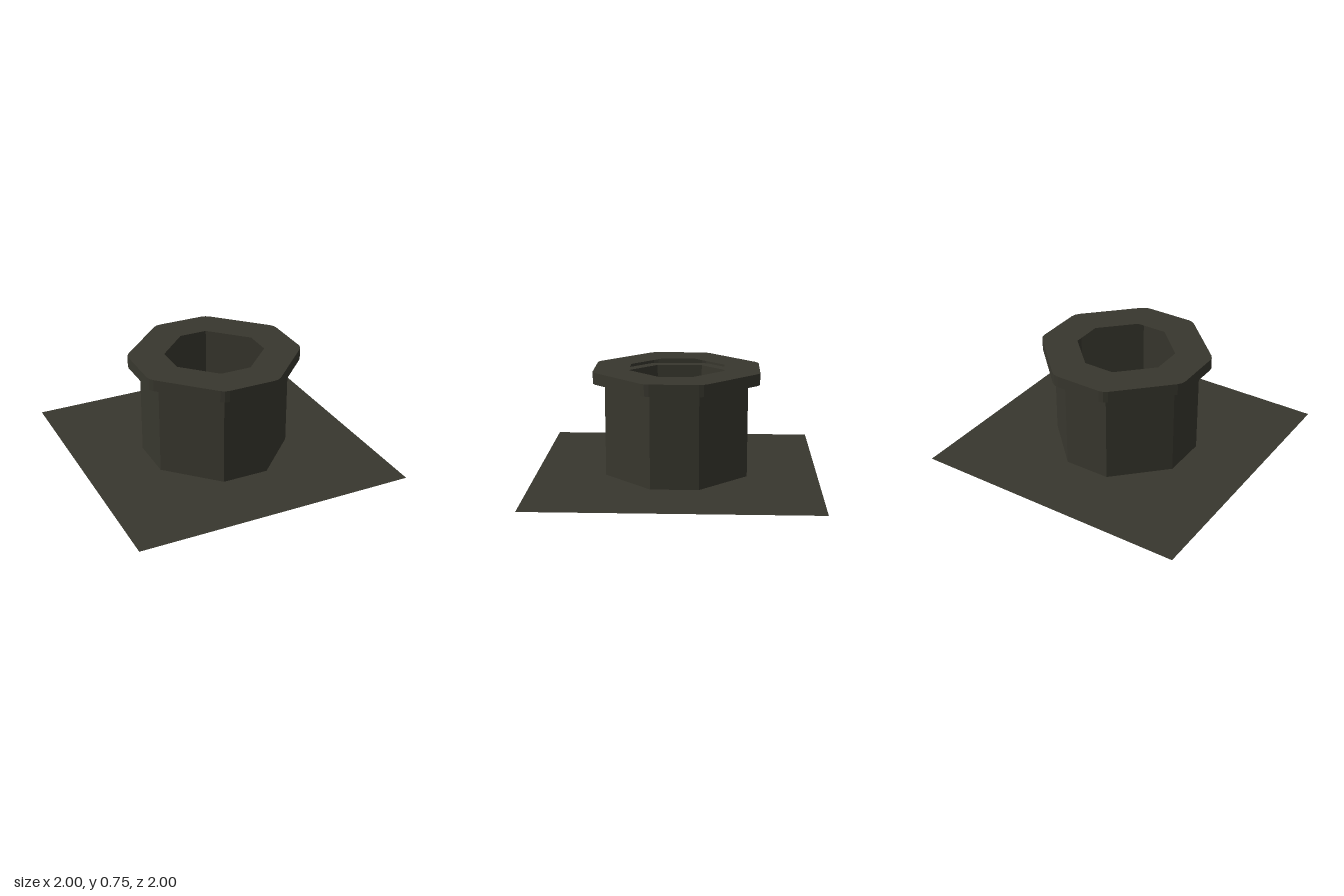
import * as THREE from 'three';

const LIP_BOTTOM = 0.667, LIP_TOP = 0.75;

// Octagon with flats at distance r and corners at r / 3, counter-clockwise
function octagon(r) {
  const pts = [];
  for (let k = 0; k < 4; k++) {
    for (const s of [-1, 1]) {
      pts.push(new THREE.Vector2(r, s * r / 3).rotateAround(new THREE.Vector2(), k * Math.PI / 2));
    }
  }
  return pts;
}

// Octagon grown outward by d, with each corner rounded by a short arc
function roundedOctagon(r, d, steps = 2) {
  const pts = [];
  octagon(r).forEach((p, i) => {
    for (let j = 0; j <= steps; j++) {
      const a = (i - 1 + j / steps) * Math.PI / 4;
      pts.push(new THREE.Vector2(p.x + d * Math.cos(a), p.y + d * Math.sin(a)));
    }
  });
  return pts;
}

// Flat horizontal sheet with a hole, facing up or down
function sheet(outer, hole, y, up = true) {
  const shape = new THREE.Shape(outer);
  shape.holes.push(new THREE.Path(hole));
  return new THREE.ShapeGeometry(shape).rotateX(up ? -Math.PI / 2 : Math.PI / 2).translate(0, y, 0);
}

// Thin upright wall following an outline
function wall(pts, y0, y1) {
  const pos = [];
  pts.forEach((a, i) => {
    const b = pts[(i + 1) % pts.length];
    const corners = [[a, y0], [b, y0], [b, y1], [a, y1]];
    for (const k of [0, 1, 2, 0, 2, 3]) pos.push(corners[k][0].x, corners[k][1], -corners[k][0].y);
  });
  const geo = new THREE.BufferGeometry();
  geo.setAttribute('position', new THREE.Float32BufferAttribute(pos, 3));
  geo.computeVertexNormals();
  return geo;
}

export function createModel() {
  const model = new THREE.Group();
  model.name = 'octagonalVent';
  const darkOlive = new THREE.MeshStandardMaterial({ color: 0x38372e, side: THREE.DoubleSide, flatShading: true });
  darkOlive.name = 'darkOlive';

  const add = (name, geometry) => {
    const mesh = new THREE.Mesh(geometry, darkOlive);
    mesh.name = name;
    model.add(mesh);
  };

  const square = [[-1, -1], [1, -1], [1, 1], [-1, 1]].map(([x, y]) => new THREE.Vector2(x, y));
  const body = octagon(0.5), opening = octagon(0.335), lip = roundedOctagon(0.5, 0.083);

  // Ground sheet, open under the hollow body
  add('basePlate', sheet(square, body, 0));
  add('bodyWall', wall(body, 0, LIP_BOTTOM));
  // Hollow overhanging lip
  add('lipUnderside', sheet(lip, body, LIP_BOTTOM, false));
  add('lipEdge', wall(lip, LIP_BOTTOM, LIP_TOP));
  add('lipTop', sheet(lip, opening, LIP_TOP));
  return model;
}
